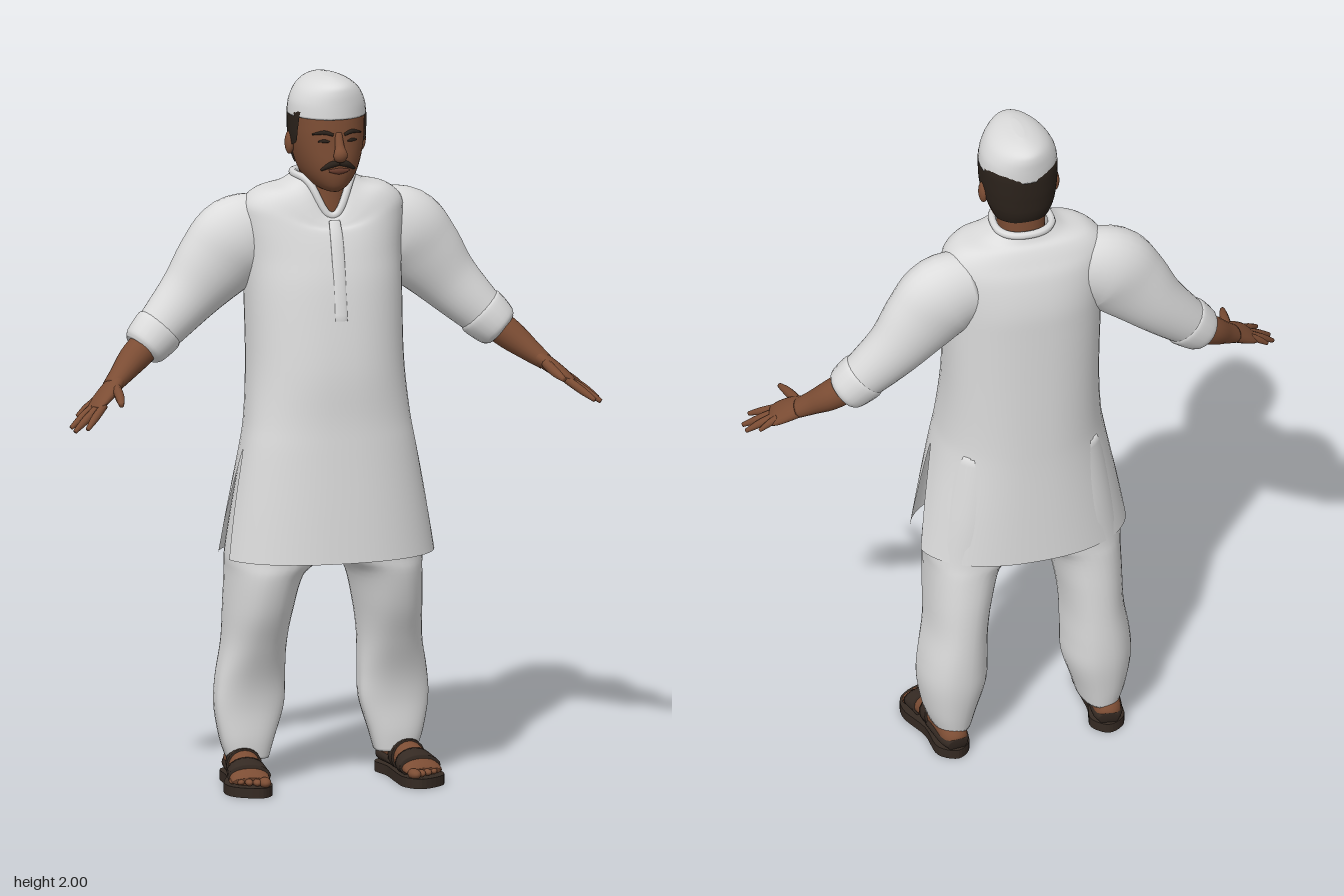
import * as THREE from 'three';
import { mergeVertices } from 'three/addons/utils/BufferGeometryUtils.js';

const V = (x, y, z) => new THREE.Vector3(x, y, z);
const material = (name, color, side = THREE.FrontSide) => {
  const m = new THREE.MeshStandardMaterial({ color, side });
  m.name = name;
  return m;
};

// Catmull-Rom subdivision of rows of numbers
function smooth(rows, sub = 5) {
  const out = [], last = rows.length - 1;
  for (let i = 0; i < last; i++) {
    const [a, b, c, d] = [i - 1, i, i + 1, i + 2].map(k => rows[Math.min(last, Math.max(0, k))]);
    for (let s = 0; s < sub; s++) {
      const t = s / sub;
      out.push(b.map((_, j) => b[j] + 0.5 * t * (c[j] - a[j] + t * (2 * a[j] - 5 * b[j] + 4 * c[j] - d[j]
        + t * (3 * (b[j] - c[j]) + d[j] - a[j])))));
    }
  }
  out.push(rows[last]);
  return out;
}

// Skin over rows of points; closed rows can be capped, and "skip" lists columns left open
function skin(rings, { closed = true, caps = true, skip = [] } = {}) {
  const n = rings[0].length, pos = [], idx = [], mid = V(0, 0, 0);
  rings.flat().forEach(p => { pos.push(p.x, p.y, p.z); mid.add(p); });
  mid.divideScalar(rings.length * n);
  for (let i = 0; i < rings.length - 1; i++) {
    for (let j = 0; j < (closed ? n : n - 1); j++) {
      if (skip.includes(j)) continue;
      const a = i * n + j, b = i * n + (j + 1) % n;
      idx.push(a, b, a + n, b, b + n, a + n);
    }
  }
  if (closed && caps) [0, rings.length - 1].forEach(r => {
    const c = rings[r].reduce((s, p) => s.add(p), V(0, 0, 0)).divideScalar(n), k = pos.length / 3;
    pos.push(c.x, c.y, c.z);
    for (let j = 0; j < n; j++) {
      const a = r * n + j, b = r * n + (j + 1) % n;
      if (r) idx.push(a, b, k); else idx.push(b, a, k);
    }
  });
  // turn all faces outward
  let vol = 0;
  const P = k => V(pos[3 * k], pos[3 * k + 1], pos[3 * k + 2]).sub(mid);
  for (let i = 0; i < idx.length; i += 3) vol += P(idx[i]).dot(P(idx[i + 1]).cross(P(idx[i + 2])));
  if (vol < 0) idx.reverse();
  let g = new THREE.BufferGeometry();
  g.setAttribute('position', new THREE.Float32BufferAttribute(pos, 3));
  g.setIndex(idx);
  g = mergeVertices(g, 1e-5);
  g.computeVertexNormals();
  return g;
}

// Point on a horizontal section with separate front and back depth
const pw = (v, p) => Math.sign(v) * Math.abs(v) ** p;
function onSection(y, cx, rx, zf, zb, zc, p, a) {
  const s = Math.sin(a);
  return V(cx + rx * pw(Math.cos(a), p), y, zc + pw(s, p) * (s > 0 ? zf - zc : zc - zb));
}
const angles = (from, to, n) => Array.from({ length: n }, (_, i) => from + (to - from) * i / n);

// Upright body from rows of [y, centre x, half width, front z, back z]
const upright = (rows, zc = 0, p = 0.9) => skin(smooth(rows).map(r =>
  angles(0, 2 * Math.PI, 36).map(a => onSection(...r, zc, p, a))));

// Limb along rows of [x, y, z, half thickness, half width]
function limb(rows, side = V(0, 0, 1), n = 20) {
  const s = smooth(rows), at = k => V(...s[Math.min(s.length - 1, Math.max(0, k))].slice(0, 3));
  return skin(s.map((r, i) => {
    const t = at(i + 1).sub(at(i - 1)).normalize();
    const b = side.clone().addScaledVector(t, -side.dot(t)).normalize(), nrm = t.clone().cross(b);
    return angles(0, 2 * Math.PI, n).map(a => at(i).addScaledVector(nrm, r[3] * Math.cos(a)).addScaledVector(b, r[4] * Math.sin(a)));
  }));
}

function ball(x, y, z, rx, ry, rz) {
  return new THREE.SphereGeometry(1, 18, 12).scale(rx, ry, rz).translate(x, y, z);
}

function mirrored(geo) {
  const g = geo.clone().scale(-1, 1, 1);
  g.setIndex([...g.index.array].reverse());
  return g;
}

export function createModel() {
  const cloth = material('white cotton', 0xdcdcdc, THREE.DoubleSide);
  const skinTone = material('brown skin', 0x7c4d34);
  const hair = material('dark hair', 0x2b221b, THREE.DoubleSide);
  const leather = material('dark leather', 0x352a23, THREE.DoubleSide);
  const lip = material('lips', 0x663a2b);
  const model = new THREE.Group();
  model.name = 'standingMan';
  const add = (name, geo, mat) => {
    const m = new THREE.Mesh(geo, mat);
    m.name = name;
    model.add(m);
  };
  const pair = (name, geo, mat) => {
    add(name + 'Left', geo, mat);
    add(name + 'Right', mirrored(geo), mat);
  };

  // Long shirt: [y, half width, front z, back z, side seam z, drop of the neckline]
  const shirtRows = smooth([
    [1.715, 0.08, 0.06, -0.115, -0.045, 0.105], [1.692, 0.12, 0.072, -0.125, -0.05, 0.09],
    [1.675, 0.185, 0.08, -0.14, -0.055, 0.085], [1.64, 0.225, 0.086, -0.158, -0.055, 0.06],
    [1.59, 0.23, 0.098, -0.178, -0.055, 0.025], [1.5, 0.222, 0.12, -0.194, -0.05, 0],
    [1.4, 0.22, 0.143, -0.196, -0.04, 0], [1.2, 0.219, 0.168, -0.195, -0.02, 0],
    [1.05, 0.23, 0.172, -0.194, 0.01, 0], [0.96, 0.245, 0.178, -0.194, 0.02, 0],
    [0.8, 0.276, 0.19, -0.197, 0.01, 0], [0.655, 0.302, 0.2, -0.2, 0, 0]]);
  const half = 25;
  const shirtRing = ([y, rx, zf, zb, zc, drop]) => {
    const gap = Math.max(0, 0.96 - y) * 0.75;   // side slits open towards the hem
    return Array.from({ length: 2 * half }, (_, j) => {
      const back = j >= half, k = (j % half) / (half - 1);
      const a = (back ? Math.PI : 0) + gap + (Math.PI - 2 * gap) * k;
      const p = onSection(y, 0, rx, zf, zb, zc, 0.87, a);
      p.y -= drop * Math.max(0, Math.sin(a)) ** 6;
      return p;
    });
  };
  add('shirt', skin(shirtRows.map(shirtRing), { caps: false, skip: [half - 1, 2 * half - 1] }), cloth);
  const neckline = shirtRing(shirtRows[0]).filter((_, j) => j % half !== half - 1);
  add('collar', new THREE.TubeGeometry(new THREE.CatmullRomCurve3(neckline, true), 96, 0.011, 8, true), cloth);
  add('placket', limb([[0, 1.6, 0.082, 0.006, 0.016], [0, 1.55, 0.106, 0.006, 0.018],
    [0, 1.45, 0.131, 0.006, 0.018], [0, 1.33, 0.152, 0.005, 0.018]], V(1, 0, 0)), cloth);

  // Sleeves with rolled cuffs
  pair('sleeve', limb([[0.15, 1.555, -0.075, 0.105, 0.08], [0.235, 1.53, -0.075, 0.125, 0.092],
    [0.3, 1.467, -0.077, 0.114, 0.082], [0.37, 1.387, -0.078, 0.089, 0.072],
    [0.44, 1.315, -0.068, 0.073, 0.066], [0.505, 1.252, -0.055, 0.06, 0.058]], V(0, 0, 1), 30), cloth);
  pair('cuff', limb([[0.455, 1.3, -0.065, 0.062, 0.058], [0.465, 1.29, -0.063, 0.073, 0.067],
    [0.505, 1.252, -0.055, 0.065, 0.064], [0.518, 1.24, -0.052, 0.052, 0.052]]), cloth);

  // Trousers
  pair('trouserLeg', upright([[0.075, 0.213, 0.058, -0.005, -0.148], [0.13, 0.214, 0.075, 0, -0.16],
    [0.22, 0.208, 0.096, 0, -0.175], [0.3, 0.204, 0.095, 0.015, -0.18], [0.4, 0.195, 0.087, 0.055, -0.18],
    [0.5, 0.186, 0.092, 0.098, -0.178], [0.6, 0.171, 0.104, 0.125, -0.172], [0.66, 0.142, 0.133, 0.13, -0.17],
    [0.8, 0.126, 0.126, 0.135, -0.17], [1.0, 0.11, 0.105, 0.13, -0.16]], -0.04), cloth);

  // Forearms, palms and fingers
  pair('forearm', limb([[0.47, 1.28, -0.06, 0.045, 0.045], [0.54, 1.225, -0.035, 0.042, 0.044],
    [0.59, 1.183, -0.003, 0.031, 0.035], [0.625, 1.155, 0.02, 0.023, 0.031]]), skinTone);
  pair('palm', limb([[0.605, 1.17, 0.008, 0.022, 0.03], [0.645, 1.14, 0.04, 0.02, 0.041],
    [0.675, 1.118, 0.06, 0.015, 0.042], [0.692, 1.106, 0.069, 0.008, 0.036]]), skinTone);
  const fingers = [
    ['thumb', [0.618, 1.157, 0.045], [0.627, 1.143, 0.115], [0.637, 1.132, 0.165], 0.013],
    ['indexFinger', [0.665, 1.117, 0.087], [0.7, 1.09, 0.12], [0.73, 1.066, 0.15], 0.011],
    ['middleFinger', [0.675, 1.113, 0.073], [0.718, 1.083, 0.096], [0.757, 1.055, 0.118], 0.0115],
    ['ringFinger', [0.68, 1.115, 0.055], [0.722, 1.086, 0.07], [0.758, 1.059, 0.083], 0.011],
    ['littleFinger', [0.68, 1.121, 0.036], [0.705, 1.103, 0.04], [0.73, 1.083, 0.043], 0.0095]];
  fingers.forEach(([name, a, b, c, r]) =>
    pair(name, limb([[...a, r, r * 1.1], [...b, r, r], [...c, r * 0.55, r * 0.55]], V(0, 0.6, 0.8), 10), skinTone));

  // Sandalled feet, turned slightly outward
  const foot = (name, geo, mat) => pair(name, geo.rotateY(0.12).translate(0.236, 0, 0), mat);
  const across = V(1, 0, 0);
  const outline = [[0, -0.165], [0.046, -0.13], [0.045, -0.03], [0.068, 0.075], [0.048, 0.132], [-0.028, 0.162],
    [-0.06, 0.12], [-0.054, 0.03], [-0.043, -0.05], [-0.046, -0.13]].map(([x, z]) => V(x, z, 0));
  const soleShape = new THREE.Shape(new THREE.CatmullRomCurve3(outline, true).getPoints(50).slice(0, -1)
    .map(p => new THREE.Vector2(p.x, p.y)));
  foot('sole', mergeVertices(new THREE.ExtrudeGeometry(soleShape, { depth: 0.028, bevelEnabled: false })
    .rotateX(Math.PI / 2).translate(0, 0.028, 0)), leather);
  foot('foot', limb([[0, 0.045, -0.15, 0.022, 0.025], [0, 0.055, -0.13, 0.037, 0.038], [0, 0.07, -0.06, 0.048, 0.04],
    [0, 0.062, 0, 0.042, 0.044], [0, 0.05, 0.06, 0.03, 0.053], [0, 0.043, 0.1, 0.02, 0.055],
    [0, 0.038, 0.115, 0.012, 0.05]], across), skinTone);
  for (let i = 0; i < 5; i++) {
    const r = i ? 0.0125 - i * 0.0007 : 0.017;
    foot('toe' + (i + 1), ball(-0.037 + i * 0.0215, 0.038, 0.13 - 0.0022 * i * i, r, r * 0.85, r * 1.6), skinTone);
  }
  foot('toeStrap', limb([[0, 0.053, 0.035, 0.04, 0.055], [0, 0.048, 0.085, 0.031, 0.061]], across), leather);
  foot('instepStrap', limb([[0, 0.066, -0.035, 0.05, 0.047], [0, 0.062, 0, 0.047, 0.05]], across), leather);
  foot('heelStrap', limb([[0, 0.042, -0.158, 0.022, 0.028], [0, 0.048, -0.125, 0.026, 0.043],
    [0, 0.045, -0.03, 0.02, 0.046]], across), leather);

  // Neck and head
  add('neck', upright([[1.56, 0, 0.06, 0.05, -0.09], [1.62, 0, 0.062, 0.052, -0.095], [1.68, 0, 0.064, 0.05, -0.1],
    [1.76, 0, 0.068, 0.05, -0.1]], -0.03), skinTone);
  const headRows = [[1.685, 0, 0.028, 0.098, 0.01], [1.7, 0, 0.052, 0.115, -0.03], [1.73, 0, 0.074, 0.125, -0.08],
    [1.77, 0, 0.089, 0.129, -0.103], [1.82, 0, 0.099, 0.127, -0.11], [1.87, 0, 0.102, 0.125, -0.112],
    [1.915, 0, 0.099, 0.118, -0.11], [1.95, 0, 0.07, 0.09, -0.09]];
  add('head', upright(headRows), skinTone);
  const fine = smooth(headRows, 12);
  const rowAt = y => fine.find(r => r[0] >= y);
  const faceZ = (x, y) => {
    const [, , rx, zf] = rowAt(y), c = (Math.abs(x) / rx) ** (1 / 0.9);
    return zf * (1 - c * c) ** 0.45;
  };

  // Hair: thin shell with sideburns, cut away around the ears
  const hairRows = smooth([[1.745, -0.5], [1.78, -0.35], [1.8, -0.15], [1.82, 0.3], [1.86, 0.42], [1.912, 0.52]], 4);
  add('hair', skin(hairRows.map(([y, reach]) => {
    const [, , rx, zf, zb] = rowAt(y);
    return angles(Math.PI - reach, 2 * Math.PI + reach, 40).concat(2 * Math.PI + reach)
      .map(a => onSection(y, 0, rx + 0.005, zf + 0.004, zb - 0.006, 0, 0.9, a));
  }), { closed: false }), hair);

  // Ears and face
  pair('ear', ball(0.103, 1.81, -0.008, 0.013, 0.033, 0.02).rotateY(0.02), skinTone);
  add('nose', limb([[0, 1.855, 0.12, 0.008, 0.01], [0, 1.82, 0.134, 0.012, 0.013], [0, 1.797, 0.143, 0.016, 0.02],
    [0, 1.783, 0.135, 0.012, 0.016]], across), skinTone);
  const onFace = (pts, t, w) => limb(pts.map(([x, y, k]) => [x, y, faceZ(x, y), t, w * k]), V(0, 1, 0), 10);
  pair('eyebrow', onFace([[0.016, 1.851, 0.7], [0.04, 1.858, 1], [0.068, 1.851, 0.4]], 0.005, 0.006), hair);
  pair('eye', onFace([[0.026, 1.832, 0.4], [0.04, 1.834, 1], [0.055, 1.832, 0.4]], 0.003, 0.005), hair);
  pair('moustache', onFace([[0, 1.772, 0.8], [0.022, 1.768, 1], [0.046, 1.752, 0.4]], 0.007, 0.009), hair);
  add('lips', onFace([[-0.028, 1.75, 0.4], [0, 1.749, 1], [0.028, 1.75, 0.4]], 0.006, 0.009), lip);

  // Boat-shaped cap
  add('cap', upright([[1.893, 0, 0.109, 0.128, -0.119], [1.93, 0, 0.104, 0.127, -0.121], [1.962, 0, 0.088, 0.124, -0.121],
    [1.982, 0, 0.066, 0.115, -0.113], [1.994, 0, 0.04, 0.085, -0.085], [2.0, 0, 0.012, 0.045, -0.045]], 0, 1), cloth);

  return model;
}
